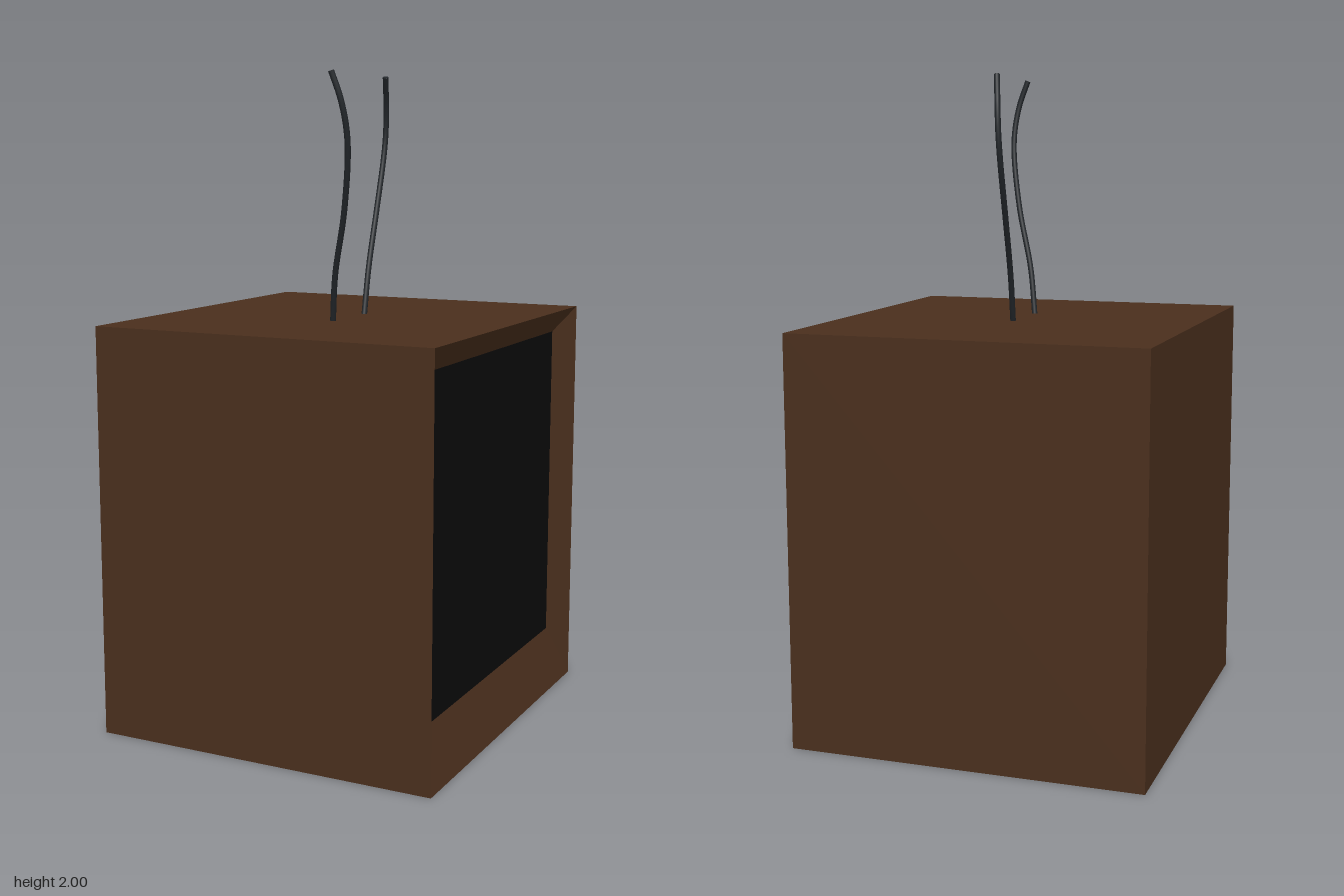
import * as THREE from 'three';

const W = 0.545, D = 0.583, H = 1.258;

// Flat-sided shell joining successive four-cornered rings in the yz plane
function ringShell(rings) {
  const pos = [];
  const corners = ({ x, d, y0, y1 }) => [[x, y0, d], [x, y0, -d], [x, y1, -d], [x, y1, d]];
  const quad = (a, b, c, d) => pos.push(...a, ...b, ...c, ...a, ...c, ...d);
  const r = rings.map(corners);
  quad(r[0][3], r[0][2], r[0][1], r[0][0]);
  for (let k = 0; k < r.length - 1; k++) {
    for (let i = 0; i < 4; i++) {
      const j = (i + 1) % 4;
      quad(r[k][i], r[k][j], r[k + 1][j], r[k + 1][i]);
    }
  }
  const g = new THREE.BufferGeometry();
  g.setAttribute('position', new THREE.Float32BufferAttribute(pos, 3));
  g.computeVertexNormals();
  return g;
}

export function createModel() {
  const group = new THREE.Group();
  const add = (name, geometry, material, parent = group) => {
    const mesh = new THREE.Mesh(geometry, material);
    mesh.name = name;
    parent.add(mesh);
    return mesh;
  };
  const wood = new THREE.MeshStandardMaterial({ color: 0x4a2f1d });
  const glass = new THREE.MeshStandardMaterial({ color: 0x0b0b0b });
  const wire = new THREE.MeshStandardMaterial({ color: 0x22262a });

  // Cabinet with a bevelled recess in its +x side
  const inner = { x: W - 0.055, d: 0.505, y0: 0.17, y1: 1.18 };
  add('cabinet', ringShell([
    { x: -W, d: D, y0: 0, y1: H },
    { x: W, d: D, y0: 0, y1: H },
    inner,
  ]), wood);

  // Screen closing the recess
  const screen = add('screen', new THREE.PlaneGeometry(inner.d * 2, inner.y1 - inner.y0), glass);
  screen.rotation.y = Math.PI / 2;
  screen.position.set(inner.x, (inner.y0 + inner.y1) / 2, 0);

  // Two bent wire antennas on the top
  const paths = {
    frontAntenna: [[0.015, 1.25, 0.142], [0.04, 1.4, 0.175], [0.095, 1.6, 0.222],
      [0.127, 1.8, 0.266], [0.117, 1.91, 0.286], [0.09, 1.995, 0.296]],
    backAntenna: [[0.017, 1.25, -0.069], [0.007, 1.4, -0.122], [-0.006, 1.58, -0.207],
      [-0.013, 1.75, -0.274], [-0.011, 1.83, -0.284], [-0.005, 1.91, -0.273], [0.009, 1.995, -0.237]],
  };
  for (const [name, points] of Object.entries(paths)) {
    const antenna = new THREE.Group();
    antenna.name = name;
    const v = points.map((p) => new THREE.Vector3(...p));
    const curve = new THREE.CatmullRomCurve3(v);
    add('antennaWire', new THREE.TubeGeometry(curve, 40, 0.009, 10), wire, antenna);
    // Flat cap on the free end
    const cap = add('antennaTip', new THREE.CircleGeometry(0.009, 10), wire, antenna);
    const end = v[v.length - 1];
    cap.position.copy(end);
    cap.lookAt(end.clone().add(curve.getTangent(1)));
    group.add(antenna);
  }
  return group;
}
